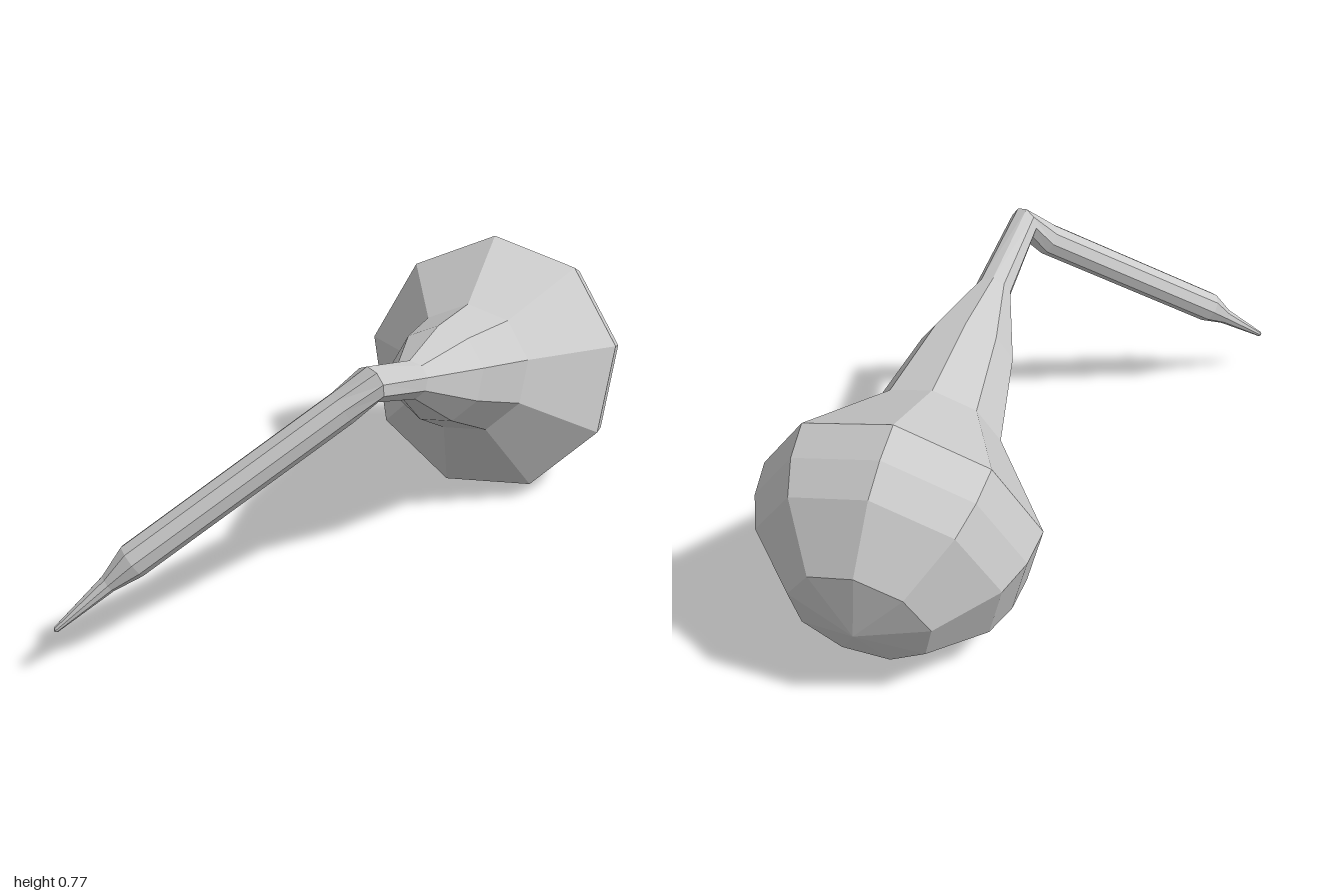
import * as THREE from 'three';

const SIDES = 9;
const UP = new THREE.Vector3(0, 1, 0);
const v = (x, y, z) => new THREE.Vector3(x, y, z);

// One nine-sided ring around a centre, square to its direction
function ring({ centre, dir, radius }) {
  const e2 = dir.clone().cross(UP).normalize();
  const e1 = e2.clone().cross(dir).normalize();
  return Array.from({ length: SIDES }, (_, i) => {
    const a = (i / SIDES) * Math.PI * 2 - 0.105;
    return centre.clone()
      .addScaledVector(e1, Math.cos(a) * radius)
      .addScaledVector(e2, Math.sin(a) * radius);
  });
}

// Flat-shaded skin through a row of sections; radius 0 closes to a point
function loft(name, sections, material) {
  const rings = sections.map(ring);
  const points = [];
  for (let i = 0; i < rings.length - 1; i++) {
    for (let j = 0; j < SIDES; j++) {
      const k = (j + 1) % SIDES;
      const [a, b, c, d] = [rings[i][j], rings[i][k], rings[i + 1][k], rings[i + 1][j]];
      if (sections[i].radius > 0) points.push(a, b, c);
      if (sections[i + 1].radius > 0) points.push(a, c, d);
      else if (sections[i].radius > 0) points.splice(-3, 3, a, b, d);
    }
  }
  const geometry = new THREE.BufferGeometry().setFromPoints(points);
  geometry.computeVertexNormals();
  const mesh = new THREE.Mesh(geometry, material);
  mesh.name = name;
  return mesh;
}

export function createModel() {
  const group = new THREE.Group();
  group.name = 'stalkedBulb';
  const material = new THREE.MeshStandardMaterial({
    color: 0xcccccc, flatShading: true, side: THREE.DoubleSide,
  });

  const axis = v(0.73, -0.315, -0.61).normalize();
  const tailDir = v(0.54, 0.36, 0.12).normalize();
  const bulbCentre = v(0.602, 0.37, -0.148);
  const bulbRadius = 0.393;

  // Bend shared by the stalk and the neck
  const joint = {
    centre: v(-0.18, 0.71, 0.488),
    dir: axis.clone().add(tailDir).normalize(),
    radius: 0.05,
  };

  // Thin stalk, tapering to a point
  const stalk = [
    [-1.0, 0.125, 0.315, 0], [-0.995, 0.129, 0.316, 0.008],
    [-0.855, 0.237, 0.336, 0.025], [-0.79, 0.29, 0.345, 0.048],
    [-0.25, 0.65, 0.465, 0.048],
  ].map(([x, y, z, radius]) => ({ centre: v(x, y, z), dir: tailDir, radius }));
  group.add(loft('stalk', [...stalk, joint], material));

  // Neck widening into the bulb, measured back from the bulb centre
  const along = (t, radius) => ({
    centre: bulbCentre.clone().addScaledVector(axis, t), dir: axis, radius,
  });
  const neck = [[-0.795, 0.053], [-0.55, 0.137], [-0.268, 0.19]].map(([t, r]) => along(t, r));

  // Rounded end of the bulb
  const dome = [0, 15, 30, 60, 90].map((deg) => {
    const a = THREE.MathUtils.degToRad(deg);
    return along(Math.sin(a) * bulbRadius, deg === 90 ? 0 : Math.cos(a) * bulbRadius);
  });
  group.add(loft('bulb', [joint, ...neck, ...dome], material));
  return group;
}
